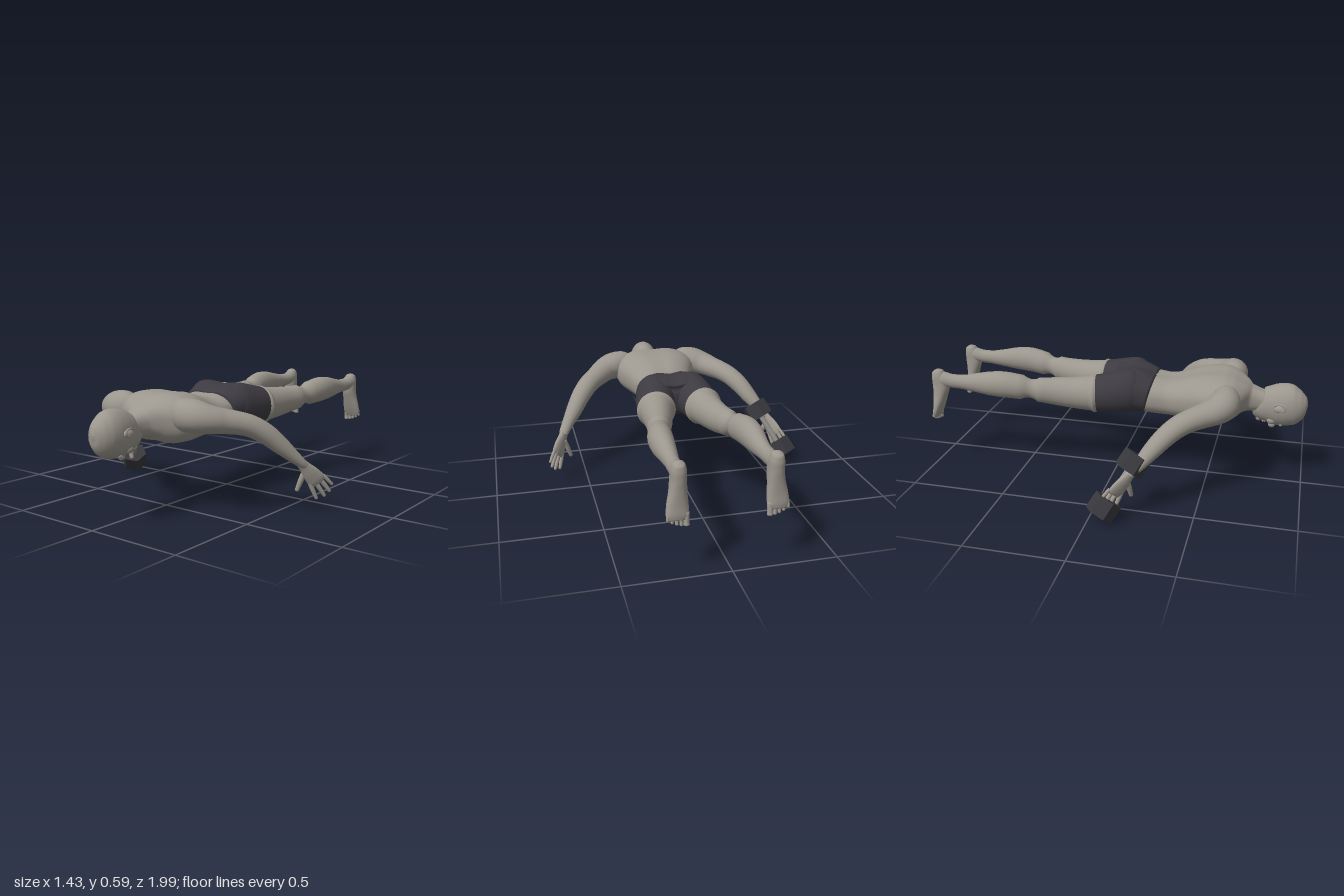
import * as THREE from 'three';

const mat = (name, color) => Object.assign(new THREE.MeshStandardMaterial({ color }), { name });
const V = (a) => new THREE.Vector3(...a);

// Smooth skin over stations [x, y, z, halfWidth, halfHeight], rings square to the path.
function loft(name, material, stations, up, { sub = 4, n = 28, e = 1, groove = 0 } = {}) {
  const path = new THREE.CatmullRomCurve3(stations.map((s) => V(s)));
  const size = new THREE.CatmullRomCurve3(stations.map((s) => new THREE.Vector3(s[3], s[4], 0)));
  const upV = V(up);
  const rings = (stations.length - 1) * sub;
  const pos = [], idx = [];
  const power = (v) => Math.sign(v) * Math.abs(v) ** e;
  for (let i = 0; i <= rings; i++) {
    const t = i / rings;
    const p = path.getPoint(t), r = size.getPoint(t), T = path.getTangent(t);
    const S = new THREE.Vector3().crossVectors(upV, T).normalize();
    const U = new THREE.Vector3().crossVectors(T, S);
    for (let j = 0; j < n; j++) {
      const a = (j / n) * Math.PI * 2, c = Math.cos(a);
      const dip = 1 - groove * Math.exp(-c * c / 0.03);
      const q = p.clone().addScaledVector(S, Math.max(r.x, 0.001) * power(c))
        .addScaledVector(U, Math.max(r.y, 0.001) * power(Math.sin(a)) * dip);
      pos.push(q.x, q.y, q.z);
      if (i < rings) {
        const k = (j + 1) % n, A = i * n + j, B = i * n + k;
        idx.push(A, B, B + n, A, B + n, A + n);
      }
    }
  }
  // end caps
  const c0 = pos.length / 3, last = rings * n;
  pos.push(...stations[0].slice(0, 3), ...stations.at(-1).slice(0, 3));
  for (let j = 0; j < n; j++) {
    const k = (j + 1) % n;
    idx.push(c0, k, j, c0 + 1, last + j, last + k);
  }
  const g = new THREE.BufferGeometry();
  g.setAttribute('position', new THREE.Float32BufferAttribute(pos, 3));
  g.setIndex(idx);
  g.computeVertexNormals();
  const m = new THREE.Mesh(g, material);
  m.name = name;
  return m;
}

function blob(name, material, p, s, rz = 0) {
  const m = new THREE.Mesh(new THREE.SphereGeometry(1, 20, 14), material);
  m.name = name;
  m.position.set(...p);
  m.scale.set(...s);
  m.rotation.z = rz;
  return m;
}

export function createModel() {
  const skin = mat('skin', 0x9c978e);
  const cloth = mat('shortsCloth', 0x3d3b41);
  const iron = mat('dumbbellIron', 0x39383d);
  const steel = mat('handleSteel', 0x8c8a86);
  const Y = [0, 1, 0];
  const model = new THREE.Group();
  model.name = 'proneFigure';
  const body = new THREE.Group();
  body.name = 'body';
  body.position.x = 0.02;
  model.add(body);

  // Torso, from neck to waist
  body.add(loft('torso', skin, [
    [0, 0.45, 0.78, 0.052, 0.05], [0, 0.452, 0.74, 0.06, 0.06], [0, 0.457, 0.70, 0.078, 0.068],
    [0, 0.465, 0.66, 0.15, 0.09], [0, 0.468, 0.62, 0.205, 0.112], [0, 0.468, 0.57, 0.232, 0.126],
    [0, 0.465, 0.50, 0.228, 0.127], [0, 0.455, 0.42, 0.198, 0.118], [0, 0.445, 0.34, 0.17, 0.104],
    [0, 0.442, 0.27, 0.157, 0.099], [0, 0.447, 0.20, 0.164, 0.1], [0, 0.45, 0.16, 0.165, 0.1],
  ], Y, { e: 0.82, n: 48, groove: 0.07 }));

  // Shorts seat
  body.add(loft('shortsSeat', cloth, [
    [0, 0.45, 0.183, 0.17, 0.104], [0, 0.463, 0.13, 0.183, 0.115], [0, 0.474, 0.08, 0.197, 0.117],
    [0, 0.468, 0.03, 0.2, 0.113], [0, 0.458, 0.0, 0.175, 0.095], [0, 0.455, -0.025, 0.1, 0.05],
  ], Y, { e: 0.85, n: 48, groove: 0.13 }));

  // Head, face down
  const head = new THREE.Group();
  head.name = 'head';
  body.add(head);
  head.add(loft('skull', skin, [
    [0, 0.44, 0.997, 0.006, 0.008], [0, 0.44, 0.988, 0.034, 0.045], [0, 0.438, 0.965, 0.058, 0.079],
    [0, 0.435, 0.93, 0.076, 0.106], [0, 0.434, 0.885, 0.083, 0.115], [0, 0.43, 0.84, 0.08, 0.112],
    [0, 0.428, 0.80, 0.072, 0.099], [0, 0.426, 0.765, 0.061, 0.083], [0, 0.435, 0.735, 0.048, 0.06],
    [0, 0.44, 0.715, 0.03, 0.035],
  ], Y));
  head.add(blob('nose', skin, [0, 0.316, 0.822, ], [0.013, 0.018, 0.019]));
  head.add(blob('brow', skin, [0, 0.333, 0.868], [0.05, 0.016, 0.013]));
  head.add(blob('chin', skin, [0, 0.353, 0.752], [0.03, 0.02, 0.017]));
  for (const z of [0.785, 0.775]) head.add(blob('lip', skin, [0, 0.337, z], [0.022, 0.01, 0.006]));

  for (const s of [1, -1]) {
    const side = s > 0 ? 'left' : 'right';
    const flip = (list) => list.map(([x, ...rest]) => [s * x, ...rest]);
    const add = (name, material, list, up, opt) =>
      body.add(loft(side + name, material, flip(list), up, opt));

    // Ear and cheek
    const ear = new THREE.Group();
    ear.name = side + 'Ear';
    ear.add(blob('earShell', skin, [s * 0.085, 0.44, 0.855], [0.011, 0.02, 0.031], s * 0.35));
    const rim = new THREE.Mesh(new THREE.TorusGeometry(0.022, 0.005, 8, 20), skin);
    rim.name = 'earRim';
    rim.position.set(s * 0.092, 0.445, 0.857);
    rim.rotation.y = Math.PI / 2 + s * 0.2;
    rim.scale.set(1.3, 0.85, 1);
    ear.add(rim);
    head.add(ear, blob(side + 'Cheek', skin, [s * 0.04, 0.357, 0.82], [0.024, 0.022, 0.026]));

    // Leg and its half of the shorts
    add('ShortsLeg', cloth, [
      [0.08, 0.47, 0.13, 0.06, 0.07], [0.098, 0.474, 0.08, 0.1, 0.115], [0.11, 0.462, 0, 0.104, 0.111],
      [0.12, 0.455, -0.06, 0.1, 0.104], [0.126, 0.453, -0.105, 0.094, 0.098],
    ], Y);
    add('Leg', skin, [
      [0.124, 0.453, -0.08, 0.09, 0.094], [0.129, 0.452, -0.12, 0.09, 0.094], [0.14, 0.451, -0.2, 0.078, 0.086],
      [0.155, 0.455, -0.3, 0.066, 0.077], [0.178, 0.464, -0.4, 0.057, 0.067], [0.196, 0.477, -0.49, 0.057, 0.067],
      [0.21, 0.488, -0.58, 0.06, 0.071], [0.214, 0.488, -0.66, 0.055, 0.066], [0.213, 0.484, -0.75, 0.043, 0.051],
      [0.214, 0.482, -0.83, 0.034, 0.039], [0.215, 0.484, -0.89, 0.034, 0.038], [0.216, 0.49, -0.935, 0.036, 0.042],
      [0.217, 0.495, -0.975, 0.025, 0.032],
    ], Y);

    // Foot hanging down, sole to the back
    add('Foot', skin, [
      [0.217, 0.545, -0.967, 0.008, 0.008], [0.217, 0.535, -0.965, 0.026, 0.028], [0.217, 0.505, -0.958, 0.035, 0.04],
      [0.217, 0.455, -0.95, 0.037, 0.046], [0.22, 0.40, -0.957, 0.041, 0.037], [0.224, 0.345, -0.967, 0.049, 0.027],
      [0.226, 0.305, -0.977, 0.051, 0.02], [0.226, 0.282, -0.981, 0.044, 0.013],
    ], [0, 0, 1], { e: 0.9 });
    for (let i = 0; i < 5; i++) {
      const r = i ? 0.0095 - i * 0.0004 : 0.014, x = i ? 0.191 + i * 0.0198 : 0.188;
      const tip = 0.25 + i * i * 0.0018;
      add('Toe', skin, [
        [x, 0.315, -0.977, r, r], [x, tip + 0.022, -0.983, r * 0.9, r * 0.9],
        [x, tip + 0.006, -0.984, r, r], [x, tip, -0.985, r * 0.3, r * 0.3],
      ], [0, 0, 1], { n: 12 });
    }

    // Arm
    add('Arm', skin, [
      [0.12, 0.495, 0.595, 0.04, 0.05], [0.19, 0.5, 0.594, 0.072, 0.08], [0.25, 0.497, 0.585, 0.08, 0.078],
      [0.30, 0.486, 0.555, 0.074, 0.068], [0.345, 0.474, 0.5, 0.065, 0.06], [0.39, 0.462, 0.445, 0.059, 0.055],
      [0.43, 0.443, 0.395, 0.056, 0.053], [0.475, 0.403, 0.34, 0.052, 0.05], [0.52, 0.345, 0.285, 0.045, 0.043],
      [0.56, 0.293, 0.24, 0.034, 0.032], [0.587, 0.255, 0.205, 0.028, 0.024], [0.597, 0.238, 0.19, 0.024, 0.018],
    ], Y);

    // Open hand with spread fingers
    const thick = [s * 0.72, -0.16, 0.68];
    add('Palm', skin, [
      [0.582, 0.262, 0.212, 0.024, 0.02], [0.597, 0.235, 0.19, 0.028, 0.018], [0.615, 0.2, 0.165, 0.04, 0.017],
      [0.632, 0.165, 0.138, 0.045, 0.015], [0.64, 0.147, 0.125, 0.035, 0.01],
    ], thick, { e: 0.9 });
    const knuckles = [[0.61, 0.145, 0.157], [0.629, 0.152, 0.137], [0.647, 0.162, 0.118], [0.66, 0.176, 0.104]];
    const tips = [[0.632, 0.062, 0.125], [0.66, 0.074, 0.095], [0.678, 0.098, 0.078], [0.686, 0.132, 0.068]];
    const finger = (name, a, b, r) => {
      const at = (t) => a.map((v, k) => v + (b[k] - v) * t);
      add(name, skin, [
        [...at(-0.2), r, r], [...at(0.3), r * 1.05, r], [...at(0.7), r * 0.9, r * 0.9],
        [...at(0.94), r * 0.75, r * 0.75], [...at(1), r * 0.25, r * 0.25],
      ], thick, { n: 12 });
    };
    knuckles.forEach((k, i) => finger('Finger', k, tips[i], i === 3 ? 0.009 : 0.0108));
    finger('Thumb', [0.588, 0.195, 0.183], [0.557, 0.105, 0.195], 0.0135);
  }

  // Dumbbell in the right hand
  const a = V([-0.525, 0.28, 0.2]), b = V([-0.635, 0.082, 0.08]);
  const dumbbell = new THREE.Group();
  dumbbell.name = 'dumbbell';
  dumbbell.position.copy(a).add(b).multiplyScalar(0.5);
  dumbbell.quaternion.setFromUnitVectors(V(Y), a.clone().sub(b).normalize());
  const half = a.distanceTo(b) / 2;
  const rod = (name, material, r, len, y, sides, flat) => {
    let g = new THREE.CylinderGeometry(r, r, len, sides);
    if (flat) {
      g = g.toNonIndexed();
      g.computeVertexNormals();
    }
    const m = new THREE.Mesh(g, material);
    m.name = name;
    m.position.y = y;
    dumbbell.add(m);
  };
  rod('handle', steel, 0.015, half * 2, 0, 20, false);
  for (const s of [1, -1]) rod('hexWeight', iron, 0.073, 0.092, s * half, 6, true);
  model.add(dumbbell);
  return model;
}
